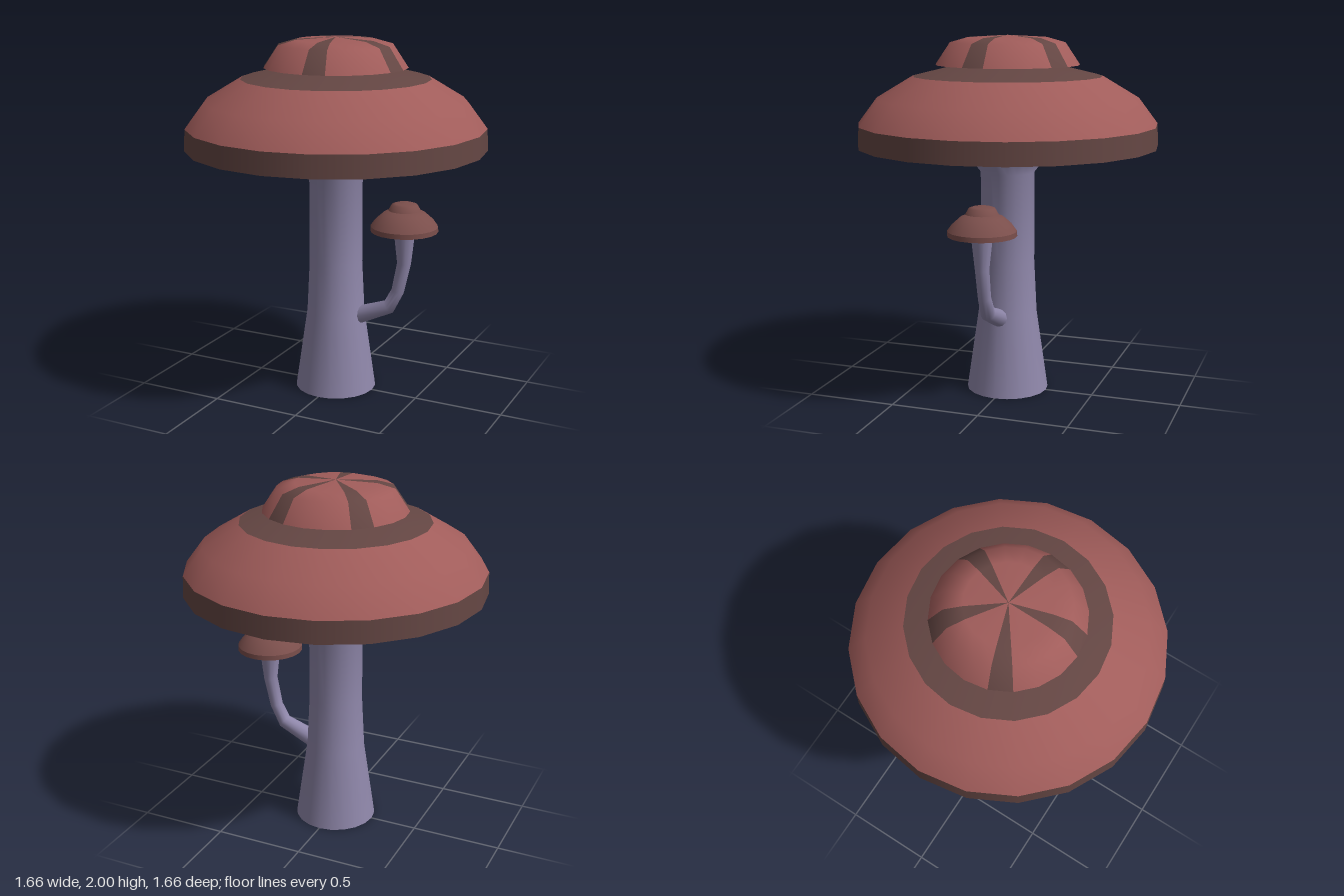
import * as THREE from 'three';

const SIDES = 20;
const STEP = (Math.PI * 2) / SIDES;
const red = new THREE.MeshStandardMaterial({ color: 0xa05c5a });
const dark = new THREE.MeshStandardMaterial({ color: 0x644643 });
const brown = new THREE.MeshStandardMaterial({ color: 0x7a4e4b });
const lilac = new THREE.MeshStandardMaterial({ color: 0x8f87aa });

// Lathe part; the profile runs bottom to top as [radius, y]
function turned(name, profile, material, start = 0, count = SIDES) {
  const points = profile.map(([r, y]) => new THREE.Vector2(r, y));
  const mesh = new THREE.Mesh(new THREE.LatheGeometry(points, count, start * STEP, count * STEP), material);
  mesh.name = name;
  return mesh;
}

// Smooth round loft along sections [x, y, radius] lying in the z = 0 plane
function loft(sections, sides) {
  const positions = [], index = [];
  sections.forEach(([x, y, r], i) => {
    const a = sections[Math.max(i - 1, 0)], b = sections[Math.min(i + 1, sections.length - 1)];
    const t = Math.atan2(b[1] - a[1], b[0] - a[0]);
    for (let j = 0; j < sides; j++) {
      const p = (j / sides) * Math.PI * 2;
      const u = r * Math.cos(p);
      positions.push(x - u * Math.sin(t), y + u * Math.cos(t), r * Math.sin(p));
      if (i === 0) continue;
      const k = (j + 1) % sides, lo = (i - 1) * sides, hi = i * sides;
      index.push(lo + j, lo + k, hi + k, lo + j, hi + k, hi + j);
    }
  });
  const geometry = new THREE.BufferGeometry();
  geometry.setAttribute('position', new THREE.Float32BufferAttribute(positions, 3));
  geometry.setIndex(index);
  geometry.computeVertexNormals();
  return geometry;
}

export function createModel() {
  const model = new THREE.Group();
  model.name = 'mushroom';

  // Main stem with flared foot and collar
  model.add(turned('stem', [[0.23, 0], [0.165, 0.45], [0.15, 0.75], [0.15, 1.25], [0.27, 1.4]], lilac));
  model.add(turned('stemBase', [[0, 0], [0.23, 0]], lilac));

  // Large cap: dark underside, rim and upper band around a red dome
  const cap = new THREE.Group();
  cap.name = 'largeCap';
  cap.add(
    turned('capUnderside', [[0, 1.4], [0.83, 1.4]], dark),
    turned('capRim', [[0.83, 1.4], [0.825, 1.52]], dark),
    turned('capDome', [[0.825, 1.52], [0.72, 1.66], [0.52, 1.78]], red),
    turned('capBand', [[0.52, 1.78], [0.25, 1.845], [0, 1.85]], dark)
  );
  model.add(cap);

  // Striped crown: five narrow dark wedges between wide red ones
  const crown = new THREE.Group();
  crown.name = 'crown';
  const crownProfile = [[0.395, 1.84], [0.315, 1.96], [0.22, 1.987], [0, 2]];
  crown.add(turned('crownUnderside', [[0, 1.84], [0.395, 1.84]], red));
  for (let i = 0; i < 5; i++) {
    crown.add(turned('crownStripe', crownProfile, dark, i * 4, 1));
    crown.add(turned('crownWedge', crownProfile, red, i * 4 + 1, 3));
  }
  model.add(crown);

  // Curved side stem growing from the main one
  const branch = new THREE.Mesh(loft([
    [0.1, 0.425, 0.05], [0.16, 0.45, 0.05], [0.33, 0.52, 0.041],
    [0.382, 0.62, 0.036], [0.417, 0.785, 0.039], [0.417, 0.975, 0.06]
  ], 12), lilac);
  branch.name = 'sideStem';
  model.add(branch);

  // Small cap with its own crown
  const smallCap = new THREE.Group();
  smallCap.name = 'smallCap';
  smallCap.position.x = 0.415;
  smallCap.add(
    turned('smallUnderside', [[0, 0.97], [0.185, 0.97]], dark),
    turned('smallRim', [[0.185, 0.97], [0.184, 0.997]], brown),
    turned('smallDome', [[0.184, 0.997], [0.16, 1.03], [0.115, 1.07], [0.06, 1.087], [0, 1.09]], brown),
    turned('smallCrownUnderside', [[0, 1.086], [0.088, 1.086]], brown),
    turned('smallCrown', [[0.088, 1.086], [0.07, 1.117], [0.05, 1.124], [0, 1.128]], brown)
  );
  model.add(smallCap);

  return model;
}
